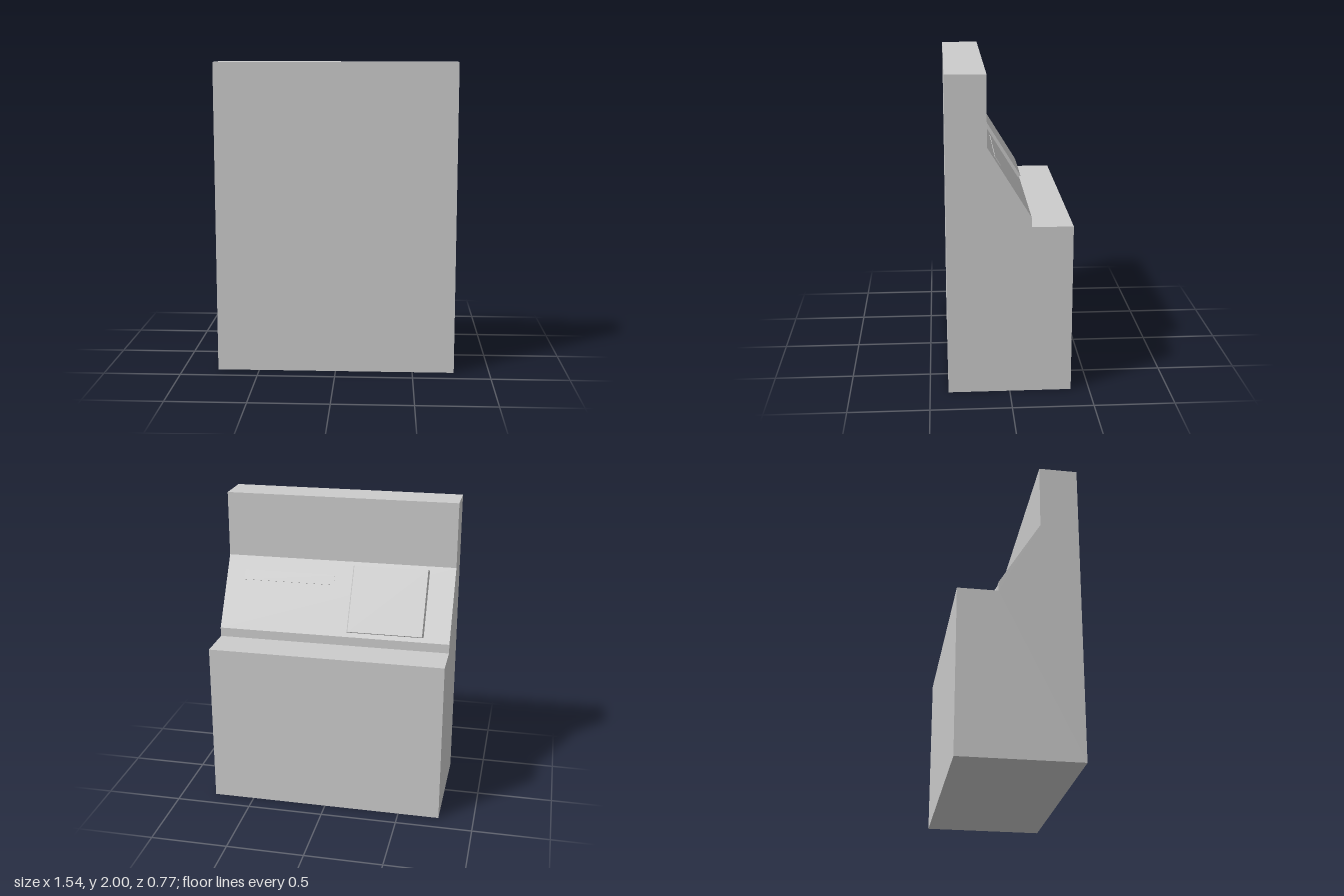
import * as THREE from 'three';

const material = new THREE.MeshStandardMaterial({ color: 0xcccccc, flatShading: true });
const WIDTH = 1.54;
// Ends of the sloped console face, as [z, y]
const SLOPE_TOP = [0.138, 1.57];
const SLOPE_BOTTOM = [-0.13, 1.135];

// Shallow block with bevelled sides, its base on local z = 0
function raisedPanel(name, width, height, depth, bevel) {
  const geometry = new THREE.BoxGeometry(width, height, depth).translate(0, 0, depth / 2);
  const p = geometry.attributes.position;
  for (let i = 0; i < p.count; i++) {
    if (p.getZ(i) < depth / 2) continue;
    p.setX(i, p.getX(i) - Math.sign(p.getX(i)) * bevel);
  }
  geometry.computeVertexNormals();
  const mesh = new THREE.Mesh(geometry, material);
  mesh.name = name;
  return mesh;
}

export function createModel() {
  const model = new THREE.Group();
  model.name = 'consoleCabinet';

  // Cabinet: stepped side profile extruded across the width
  const profile = [
    [0.385, 0], [-0.385, 0], [-0.385, 1.075], [-0.13, 1.075],
    SLOPE_BOTTOM, SLOPE_TOP, [0.138, 2], [0.385, 2],
  ];
  const shape = new THREE.Shape(profile.map(([z, y]) => new THREE.Vector2(-z, y)));
  const body = new THREE.ExtrudeGeometry(shape, { depth: WIDTH, bevelEnabled: false });
  body.translate(0, 0, -WIDTH / 2).rotateY(Math.PI / 2);
  const cabinet = new THREE.Mesh(body, material);
  cabinet.name = 'cabinet';
  model.add(cabinet);

  // Console face: local y runs up the slope, local z points out of it
  const up = new THREE.Vector3(0, SLOPE_TOP[1] - SLOPE_BOTTOM[1], SLOPE_TOP[0] - SLOPE_BOTTOM[0]).normalize();
  const right = new THREE.Vector3(-1, 0, 0);
  const out = new THREE.Vector3().crossVectors(right, up);
  const face = new THREE.Group();
  face.name = 'consoleFace';
  face.quaternion.setFromRotationMatrix(new THREE.Matrix4().makeBasis(right, up, out));
  face.position.set(0, SLOPE_TOP[1], SLOPE_TOP[0]);
  model.add(face);

  // Raised screen
  const screen = raisedPanel('screen', 0.51, 0.45, 0.02, 0.009);
  screen.position.set(0.345, -0.255, 0);
  face.add(screen);

  // Slim strip beside the screen
  const strip = raisedPanel('controlStrip', 0.615, 0.067, 0.003, 0);
  strip.position.set(-0.337, -0.134, 0);
  face.add(strip);

  return model;
}
